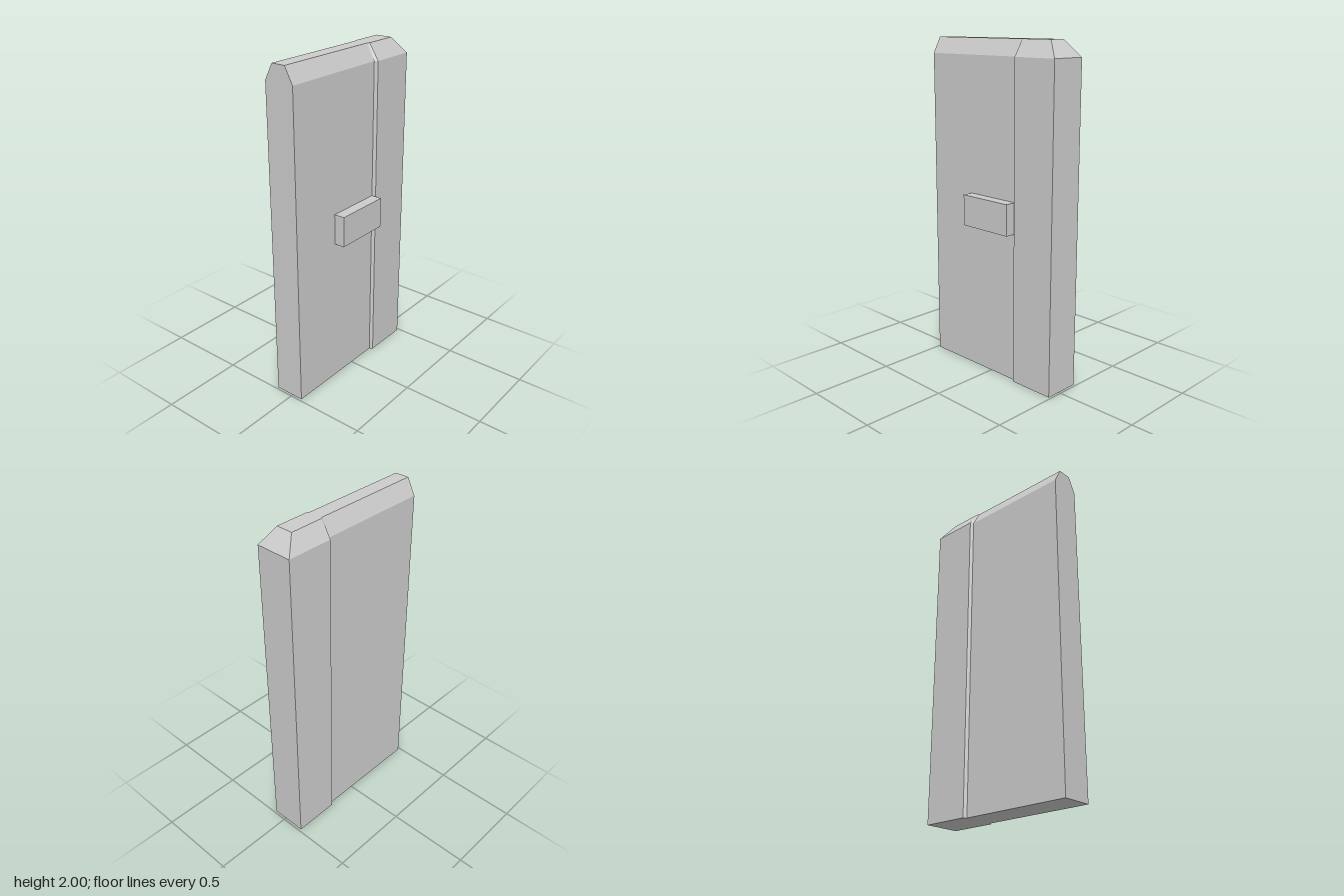
import * as THREE from 'three';

const HEIGHT = 2, SHOULDER = 1.906, CENTRE_Z = -0.024;

// Six-sided upright section: straight flanks, bevelled top
function section({ x, topX = x, half, topHalf }) {
  return [
    [x, 0, -half], [x, 0, half], [x, SHOULDER, half],
    [topX, HEIGHT, topHalf], [topX, HEIGHT, -topHalf], [x, SHOULDER, -half],
  ];
}

// Skins consecutive sections and closes both ends with flat faces
function loft(sections) {
  const positions = [];
  const quad = (a, b, c, d) => positions.push(...a, ...b, ...c, ...a, ...c, ...d);
  for (let i = 0; i < sections.length - 1; i++) {
    const s = sections[i], t = sections[i + 1];
    for (let j = 0; j < 6; j++) {
      const k = (j + 1) % 6;
      quad(s[j], t[j], t[k], s[k]);
    }
  }
  const s = sections[0], e = sections[sections.length - 1];
  quad(s[0], s[1], s[2], s[5]);
  quad(s[5], s[2], s[3], s[4]);
  quad(e[5], e[2], e[1], e[0]);
  quad(e[4], e[3], e[2], e[5]);
  const geometry = new THREE.BufferGeometry();
  geometry.setAttribute('position', new THREE.Float32BufferAttribute(positions, 3));
  geometry.computeVertexNormals();
  return geometry;
}

export function createModel() {
  const group = new THREE.Group();
  group.name = 'slab';
  const material = new THREE.MeshStandardMaterial({ color: 0xcccccc, flatShading: true });

  // Thin panel stepping out into a thicker edge post
  const thin = { half: 0.093, topHalf: 0.043 };
  const thick = { half: 0.111, topHalf: 0.051 };
  const body = new THREE.Mesh(loft([
    { x: -0.486, ...thin },
    { x: 0.191, ...thin },
    { x: 0.203, ...thick },
    { x: 0.486, topX: 0.407, ...thick },
  ].map(section)), material);
  body.name = 'body';
  body.position.z = CENTRE_Z;
  group.add(body);

  // Block on the front face, against the step
  const block = new THREE.Mesh(new THREE.BoxGeometry(0.354, 0.186, 0.066), material);
  block.name = 'frontBlock';
  block.position.set(0.014, 1.002, 0.102);
  group.add(block);

  return group;
}
